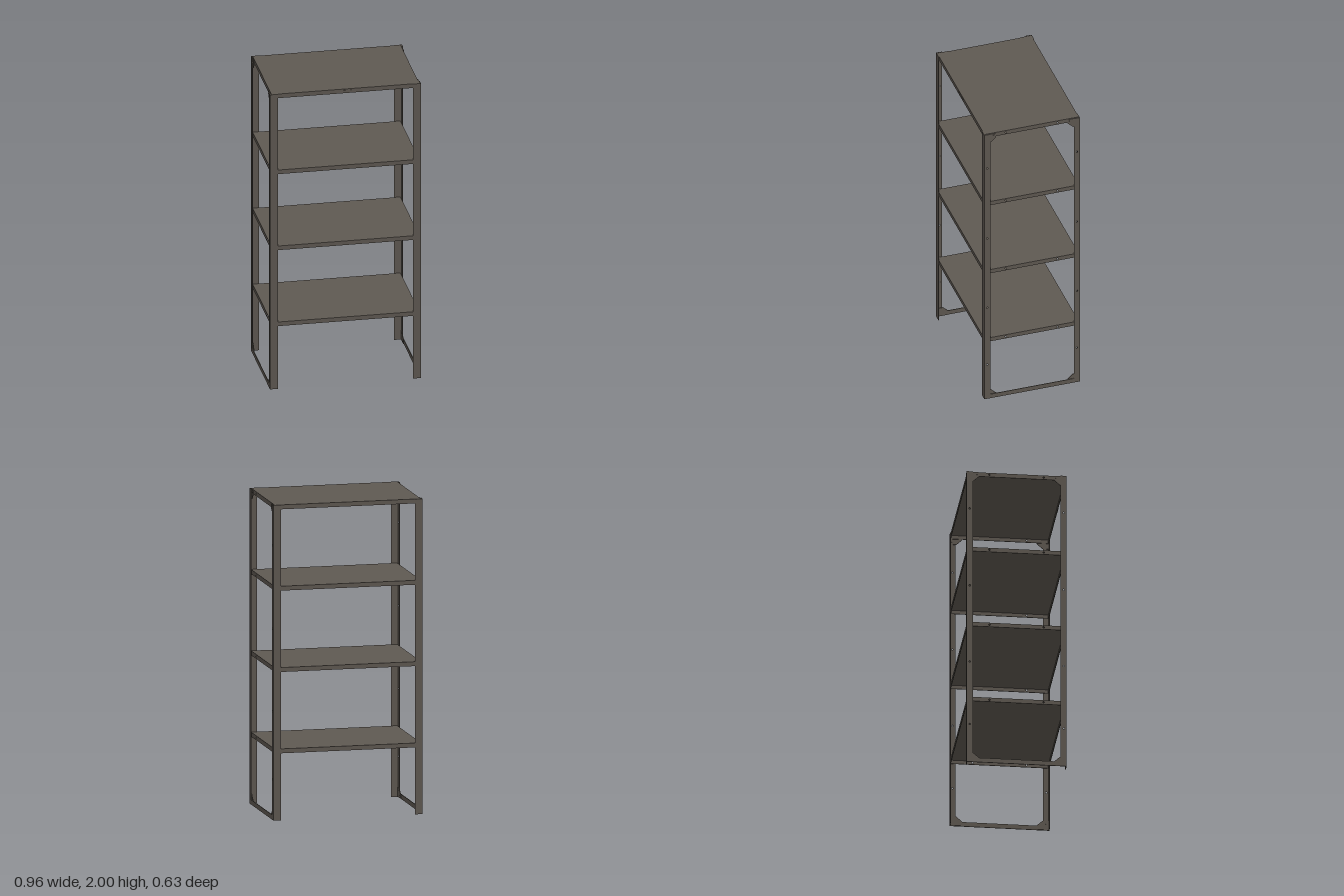
import * as THREE from 'three';

const HALF_X = 0.48, HALF_Z = 0.314, HEIGHT = 2, T = 0.004;

export function createModel() {
  const root = new THREE.Group();
  root.name = 'shelvingUnit';
  const steel = new THREE.MeshStandardMaterial({ color: 0x5f5952 });
  steel.name = 'dark warm grey steel';

  function add(parent, name, geometry, x, y, z) {
    const mesh = new THREE.Mesh(geometry, steel);
    mesh.name = name;
    mesh.position.set(x, y, z);
    parent.add(mesh);
    return mesh;
  }
  const box = (parent, name, w, h, d, x, y, z) =>
    add(parent, name, new THREE.BoxGeometry(w, h, d), x, y, z);

  // Plate lying in the z-y plane, from (z, y) outline points, with round holes
  function sidePlate(parent, name, points, holes, xCentre) {
    const shape = new THREE.Shape(points.map(([z, y]) => new THREE.Vector2(-z, y)));
    for (const [z, y] of holes) {
      const hole = new THREE.Path();
      hole.absarc(-z, y, 0.005, 0, Math.PI * 2, true);
      shape.holes.push(hole);
    }
    const geometry = new THREE.ExtrudeGeometry(shape, { depth: T, bevelEnabled: false, curveSegments: 8 });
    geometry.translate(0, 0, -T / 2);
    geometry.rotateY(Math.PI / 2);
    return add(parent, name, geometry, xCentre, 0, 0);
  }
  const rect = (z0, z1, y0, y1) => [[z0, y0], [z1, y0], [z1, y1], [z0, y1]];

  // Shelves: open-bottomed trays with folded skirts
  const shelfX = 0.47, shelfZ = HALF_Z - T, skirt = 0.028;
  for (let i = 0; i < 4; i++) {
    const top = 0.452 + i * 0.516;
    const shelf = new THREE.Group();
    shelf.name = 'shelf' + (i + 1);
    root.add(shelf);
    box(shelf, 'shelfPanel', shelfX * 2, T, shelfZ * 2, 0, top - T / 2, 0);
    for (const s of [-1, 1]) {
      box(shelf, s > 0 ? 'frontSkirt' : 'backSkirt', shelfX * 2, skirt - T, T,
        0, top - (skirt + T) / 2, s * (shelfZ - T / 2));
      sidePlate(shelf, s > 0 ? 'leftSkirt' : 'rightSkirt',
        rect(-shelfZ + T, shelfZ - T, top - skirt, top - T),
        [[-0.17, top - 0.014], [0.17, top - 0.014]], s * (shelfX - T / 2));
    }
  }
  // Small blank plate on the top shelf's front skirt
  box(root, 'frontTab', 0.08, 0.016, 0.002, 0, HEIGHT - 0.016, shelfZ + 0.001);

  // Ends: angle-section legs, foot rails, corner gussets and bolts
  const boltGeometry = new THREE.CylinderGeometry(0.006, 0.006, 0.008, 8).rotateZ(Math.PI / 2);
  const legHoles = [0.26, 0.69, 1.215, 1.745];
  for (const sx of [-1, 1]) {
    const end = new THREE.Group();
    end.name = sx > 0 ? 'leftEndFrame' : 'rightEndFrame';
    root.add(end);
    const plateX = sx * (HALF_X - T / 2);
    const gussetX = sx * (HALF_X - 1.5 * T);
    for (const sz of [-1, 1]) {
      const leg = new THREE.Group();
      leg.name = sz > 0 ? 'frontLeg' : 'backLeg';
      end.add(leg);
      box(leg, 'legFace', 0.05, HEIGHT, T, sx * (HALF_X - 0.025), HEIGHT / 2, sz * (HALF_Z - T / 2));
      sidePlate(leg, 'legSide', rect(sz * 0.275, sz * (HALF_Z - T), 0, HEIGHT),
        legHoles.map(y => [sz * 0.295, y]), plateX);

      const outer = sz * (HALF_Z - T), inner = sz * 0.235, chamfer = sz * 0.27;
      sidePlate(end, 'footGusset',
        [[outer, 0.002], [inner, 0.002], [inner, 0.03], [chamfer, 0.063], [outer, 0.063]], [], gussetX);
      sidePlate(end, 'topGusset',
        [[outer, 1.998], [inner, 1.998], [inner, 1.97], [chamfer, 1.937], [outer, 1.937]], [], gussetX);
      for (const [z, y] of [[0.25, 0.015], [0.295, 0.045], [0.25, 1.985], [0.295, 1.955]])
        add(end, 'bolt', boltGeometry, sx * (HALF_X - 0.005), y, sz * z);
    }
    sidePlate(end, 'footRail', rect(-0.275, 0.275, 0, 0.03), [], plateX);
  }
  return root;
}
